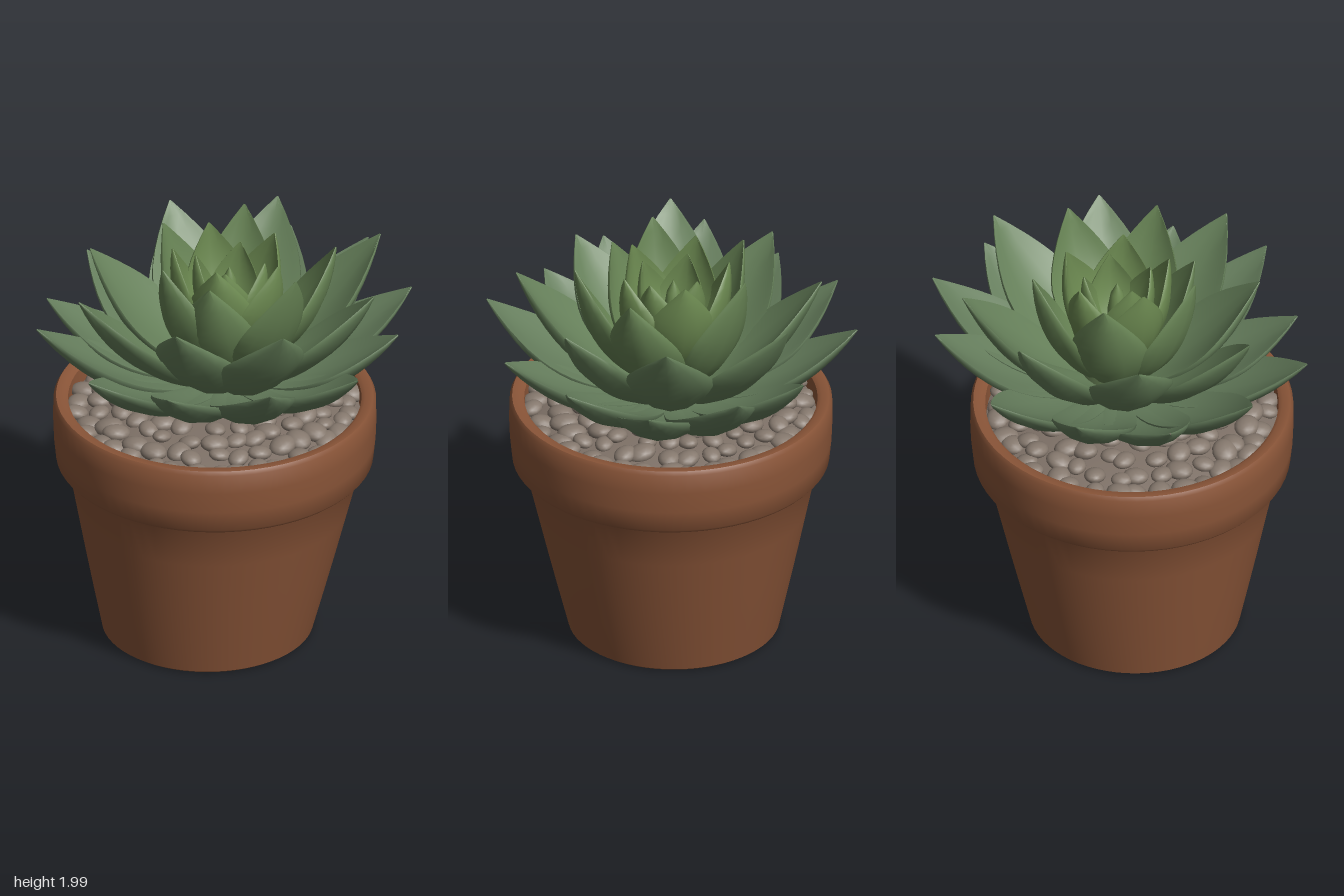
import * as THREE from 'three';
import { mergeGeometries, toCreasedNormals } from 'three/addons/utils/BufferGeometryUtils.js';

const mat = (color) => new THREE.MeshStandardMaterial({ color });

function addMesh(parent, name, geometry, color) {
  const mesh = new THREE.Mesh(geometry, mat(color));
  mesh.name = name;
  parent.add(mesh);
  return mesh;
}

function seeded(seed) {
  return () => {
    seed = (seed * 16807) % 2147483647;
    return seed / 2147483647;
  };
}

const lathe = (profile, segments = 64) =>
  new THREE.LatheGeometry(profile.map(([r, y]) => new THREE.Vector2(r, y)), segments);

const AXIS = new THREE.Vector3(0.02, 0, -0.01);

// Half-width along a leaf: narrow foot, broad middle, pointed tip
function leafWidth(t) {
  if (t < 0.55) return 0.45 + 0.55 * Math.sin((Math.PI / 2) * (t / 0.55));
  return 1 - Math.pow((t - 0.55) / 0.45, 1.8);
}

// A fleshy cupped leaf: a tube bent along a curve with a lens-shaped section
function leafGeometry(tip, s) {
  const out = new THREE.Vector3(tip.x - AXIS.x, 0, tip.z - AXIS.z);
  const reach = out.length();
  out.normalize();
  const at = (r, y) => AXIS.clone().addScaledVector(out, r).setY(y);
  const curve = new THREE.QuadraticBezierCurve3(
    at(s.baseR, s.baseY), at(reach * s.bendR, s.bendY), tip);
  const side = out.clone().cross(new THREE.Vector3(0, 1, 0));

  const geo = new THREE.CylinderGeometry(1, 1, 1, 14, 14, true);
  const pos = geo.attributes.position;
  const p = new THREE.Vector3();
  for (let i = 0; i < pos.count; i++) {
    const t = THREE.MathUtils.clamp(pos.getY(i) + 0.5, 0, 1);
    const u = pos.getX(i);
    const w = s.width * leafWidth(t) + 0.003;
    const thick = s.thick * (1 - t * t * t) + 0.003;
    const normal = side.clone().cross(curve.getTangent(t));
    curve.getPoint(t, p);
    p.addScaledVector(side, u * w);
    p.addScaledVector(normal, pos.getZ(i) * thick + s.cup * w * u * u);
    pos.setXYZ(i, p.x, p.y, p.z);
  }
  return toCreasedNormals(geo, 1.0);
}

// Each ring lists its leaf tips as x, y, z
const RINGS = [
  {
    name: 'outerLeaf', color: 0x657d5c,
    width: 0.195, thick: 0.04, cup: 0.32, baseR: 0.1, baseY: 1.27, bendR: 0.62, bendY: 1.25,
    tips: [
      [0.10, 1.64, -0.865], [-0.34, 1.66, -0.78], [-0.68, 1.62, -0.51], [-0.90, 1.68, -0.17],
      [-0.86, 1.62, 0.30], [-0.585, 1.60, 0.58], [-0.19, 1.66, 0.855], [0.30, 1.59, 0.78],
      [0.65, 1.60, 0.49], [0.90, 1.61, 0.12], [0.88, 1.67, -0.30], [0.63, 1.64, -0.605],
    ],
  },
  {
    name: 'middleLeaf', color: 0x66805a,
    width: 0.205, thick: 0.04, cup: 0.35, baseR: 0.08, baseY: 1.3, bendR: 0.66, bendY: 1.4,
    tips: [
      [0.05, 1.87, -0.70], [0.525, 1.86, -0.53], [0.78, 1.88, 0.035], [0.52, 1.84, 0.50],
      [-0.06, 1.87, 0.72], [-0.475, 1.84, 0.435], [-0.76, 1.87, -0.01], [-0.47, 1.85, -0.48],
    ],
  },
  {
    name: 'innerLeaf', color: 0x678354,
    width: 0.18, thick: 0.032, cup: 0.45, baseR: 0.05, baseY: 1.35, bendR: 0.85, bendY: 1.5,
    tips: [
      [-0.16, 1.98, -0.34], [0.26, 1.98, -0.34], [0.47, 1.97, 0.2],
      [0.14, 1.99, 0.45], [-0.22, 1.94, 0.27], [-0.37, 1.99, 0.08],
    ],
  },
  {
    name: 'heartLeaf', color: 0x6b8850,
    width: 0.16, thick: 0.025, cup: 0.5, baseR: 0.03, baseY: 1.42, bendR: 1.05, bendY: 1.6,
    tips: [
      [0.04, 1.97, -0.27], [0.28, 1.96, -0.06], [0.16, 1.95, 0.22],
      [-0.14, 1.97, 0.18], [-0.22, 1.97, -0.12],
    ],
  },
  {
    name: 'coreLeaf', color: 0x6b8850,
    width: 0.12, thick: 0.02, cup: 0.55, baseR: 0.02, baseY: 1.5, bendR: 1.15, bendY: 1.65,
    tips: [
      [0.13, 1.92, -0.12], [0.15, 1.91, 0.1], [-0.07, 1.92, 0.13], [-0.12, 1.93, -0.08],
    ],
  },
];

function createPot() {
  const pot = new THREE.Group();
  pot.name = 'pot';

  // Tapered body, overhanging rim and inner wall in one profile
  const geo = lathe([
    [0, 0], [0.475, 0], [0.492, 0.012], [0.54, 0.22], [0.585, 0.42], [0.635, 0.65],
    [0.682, 0.865], [0.69, 0.878], [0.722, 0.882], [0.738, 0.9], [0.748, 1.0], [0.752, 1.1],
    [0.75, 1.195], [0.738, 1.214], [0.7, 1.214], [0.682, 1.2], [0.672, 1.05], [0, 1.05],
  ]);
  // The foot sits slightly off the rim's centre
  const pos = geo.attributes.position;
  for (let i = 0; i < pos.count; i++) {
    const k = 1 - Math.min(pos.getY(i) / 0.9, 1);
    pos.setX(i, pos.getX(i) - 0.06 - 0.03 * k);
    pos.setZ(i, pos.getZ(i) - 0.015 * k);
  }
  addMesh(pot, 'potShell', toCreasedNormals(geo, 0.7), 0x8a5538);
  return pot;
}

function createGravel() {
  const gravel = new THREE.Group();
  gravel.name = 'gravel';
  gravel.position.x = -0.06;

  // Low mound of soil
  addMesh(gravel, 'soil',
    lathe([[0.68, 1.12], [0.6, 1.15], [0.45, 1.185], [0.25, 1.21], [0, 1.22]], 48), 0x7d7066);

  // Rounded pebbles in loose rings
  const rand = seeded(41);
  const pebbles = [];
  for (const [radius, count, y] of [[0.625, 38, 1.15], [0.53, 32, 1.175], [0.43, 25, 1.195], [0.33, 16, 1.205]]) {
    for (let i = 0; i < count; i++) {
      const a = ((i + rand() * 0.5) / count) * Math.PI * 2;
      const r = radius + (rand() - 0.5) * 0.05;
      const size = 0.042 + rand() * 0.018;
      const g = new THREE.IcosahedronGeometry(1, 2);
      g.scale(size * 1.2, size * 0.65, size);
      g.rotateZ((rand() - 0.5) * 0.5);
      g.rotateY(rand() * 6.28);
      g.translate(Math.cos(a) * r, y, Math.sin(a) * r);
      pebbles.push(toCreasedNormals(g, 0.8));
    }
  }
  addMesh(gravel, 'pebbles', mergeGeometries(pebbles), 0x86796e);
  return gravel;
}

function createRosette() {
  const rosette = new THREE.Group();
  rosette.name = 'rosette';

  // Short fleshy stem that holds the leaves
  const stem = addMesh(rosette, 'stem',
    lathe([[0.17, 1.15], [0.2, 1.28], [0.15, 1.42], [0.08, 1.53], [0, 1.56]], 24), 0x566b46);
  stem.position.copy(AXIS);

  for (const ring of RINGS) {
    for (const tip of ring.tips) {
      addMesh(rosette, ring.name, leafGeometry(new THREE.Vector3(...tip), ring), ring.color);
    }
  }

  // Closed bud in the middle
  const bud = addMesh(rosette, 'bud',
    lathe([[0.02, 1.52], [0.04, 1.62], [0.045, 1.72], [0.03, 1.81], [0, 1.87]], 16), 0x6b8850);
  bud.position.copy(AXIS);
  return rosette;
}

export function createModel() {
  const model = new THREE.Group();
  model.name = 'pottedSucculent';
  model.add(createPot(), createGravel(), createRosette());
  // Soil profile runs inward and upward, so its faces look up
  return model;
}
